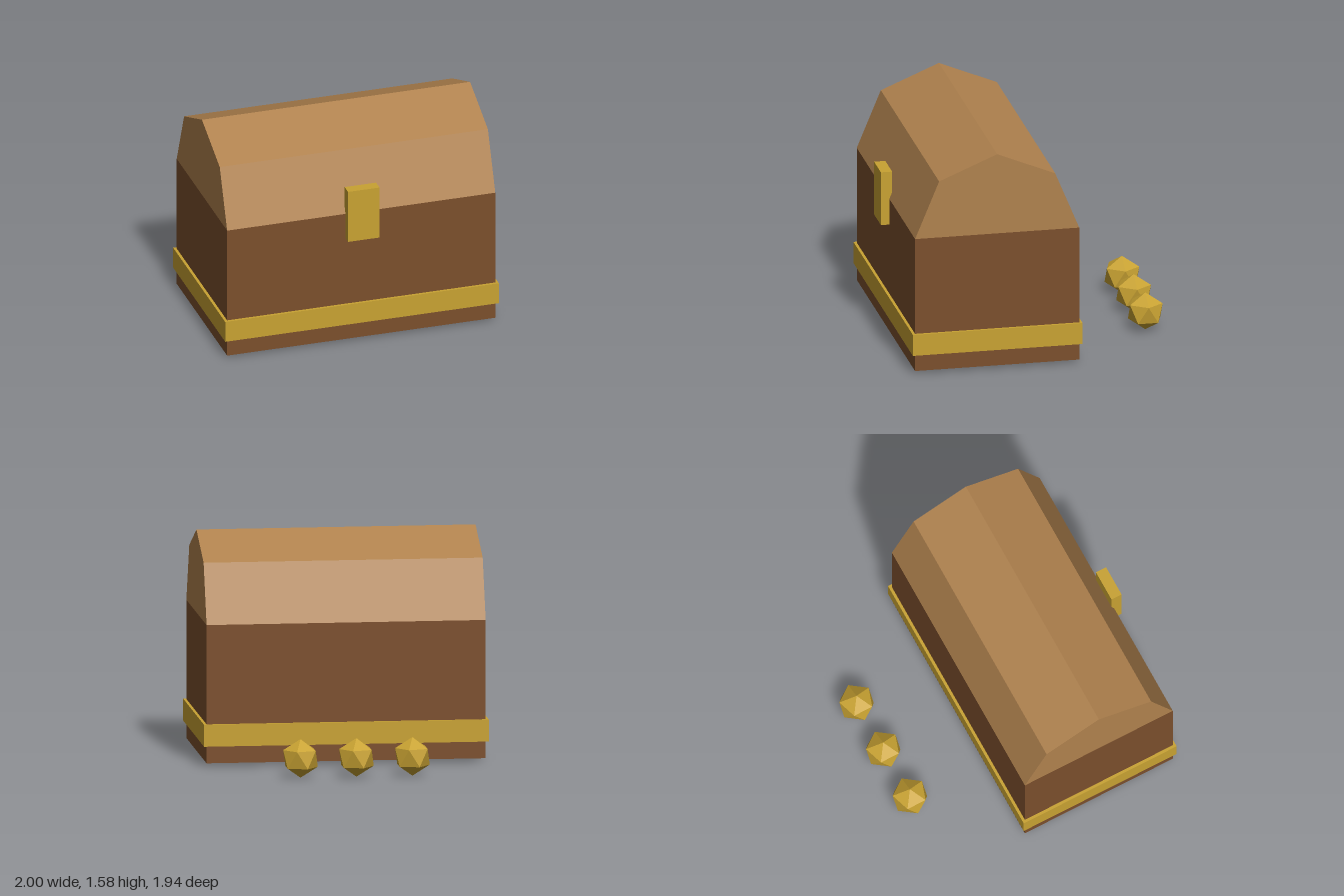
import * as THREE from 'three';

export function createModel() {
  const root = new THREE.Group();
  root.name = 'treasureChest';

  const material = (name, color) => {
    const m = new THREE.MeshStandardMaterial({ color });
    m.name = name;
    m.flatShading = true;
    return m;
  };
  const wood = material('darkWood', 0x7b4f2c);
  const lidWood = material('lightWood', 0xb0824e);
  const gold = material('gold', 0xc8a232);

  const add = (name, geometry, mat, x, y, z) => {
    const mesh = new THREE.Mesh(geometry, mat);
    mesh.name = name;
    mesh.position.set(x, y, z);
    root.add(mesh);
  };

  const width = 1.96, radius = 0.585, chestZ = 0.325;

  // Chest body, the band around it and the lock plate
  add('body', new THREE.BoxGeometry(width, 0.975, radius * 2), wood, 0, 0.5125, chestZ);
  add('band', new THREE.BoxGeometry(2, 0.155, 1.21), gold, 0, 0.2225, chestZ);
  add('lock', new THREE.BoxGeometry(0.23, 0.39, 0.08), gold, 0, 1.005, 0.93);

  // Faceted lid: the upper half of an octagonal prism
  const profile = [];
  for (let i = 0; i <= 4; i++) {
    const a = (i * Math.PI) / 4;
    profile.push(new THREE.Vector2(Math.cos(a) * radius, Math.sin(a) * radius));
  }
  const lid = new THREE.ExtrudeGeometry(new THREE.Shape(profile), { depth: width, bevelEnabled: false });
  lid.translate(0, 0, -width / 2).rotateY(Math.PI / 2);
  add('lid', lid, lidWood, 0, 1, chestZ);

  // Three gold nuggets behind the chest, each standing on a corner
  const nugget = new THREE.IcosahedronGeometry(0.136, 0);
  nugget.rotateZ(-Math.atan(2 / (1 + Math.sqrt(5))));
  [-0.393, 0, 0.393].forEach((x, i) => add(`nugget${i + 1}`, nugget, gold, x, 0.14, -0.855));

  return root;
}
